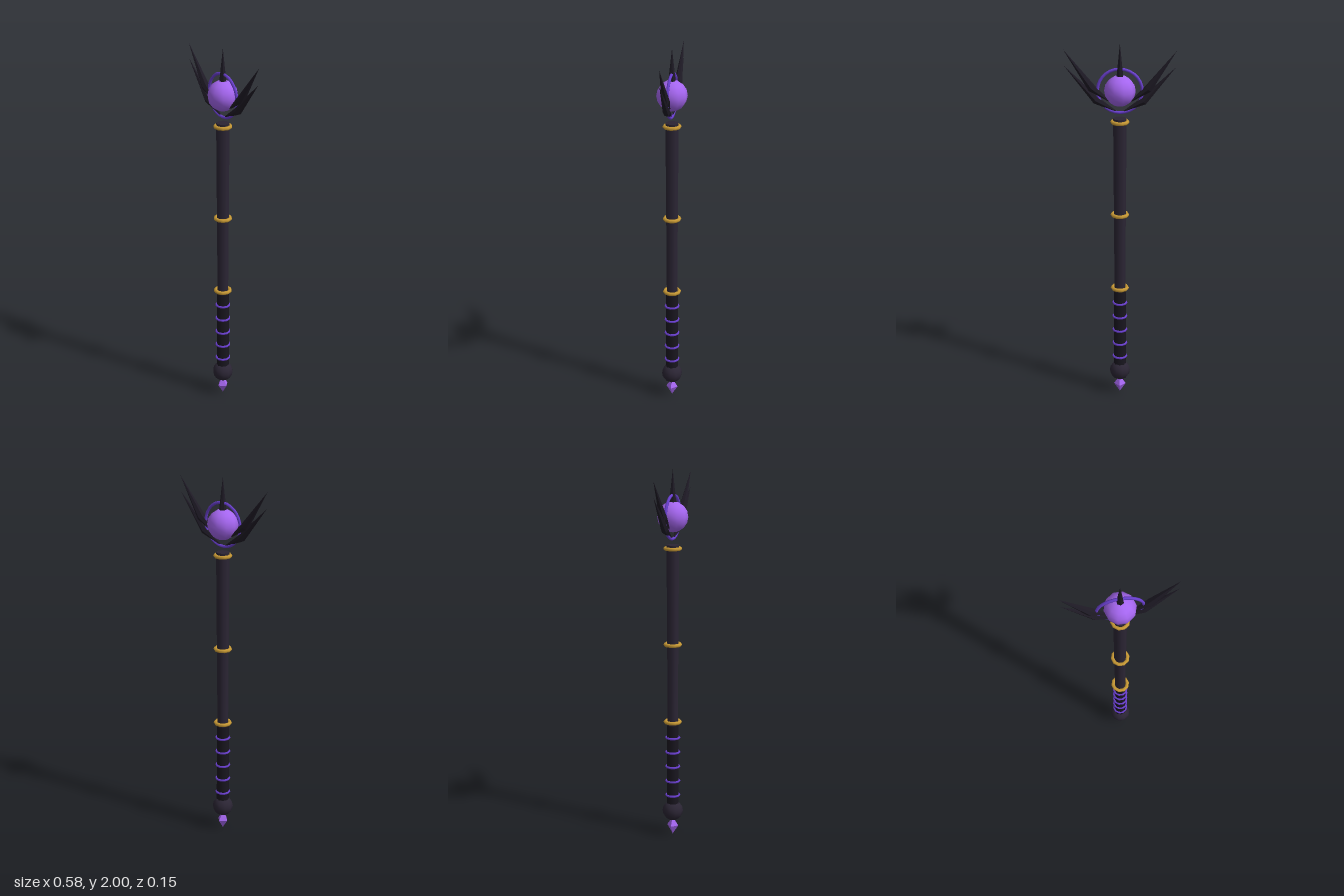
import * as THREE from 'three';

const mat = (color, flatShading = false) => {
  const m = new THREE.MeshStandardMaterial({ color });
  m.flatShading = flatShading;
  return m;
};

// Faceted thorn: a point, a six-sided ring at the bend, and a tip, all in the xy plane
function thornGeometry(base, bend, tip, radius, sides = 6) {
  const a = new THREE.Vector3(base[0], base[1], 0);
  const b = new THREE.Vector3(bend[0], bend[1], 0);
  const c = new THREE.Vector3(tip[0], tip[1], 0);
  const along = c.clone().sub(a).normalize();
  const across = new THREE.Vector3(along.y, -along.x, 0);
  const ring = i => {
    const t = (i / sides) * Math.PI * 2;
    return b.clone().addScaledVector(across, Math.sin(t) * radius)
      .add(new THREE.Vector3(0, 0, Math.cos(t) * radius));
  };
  const points = [];
  for (let i = 0; i < sides; i++) {
    const p = ring(i), q = ring(i + 1);
    points.push(p, q, c, q, p, a);
  }
  const geometry = new THREE.BufferGeometry().setFromPoints(points);
  geometry.computeVertexNormals();
  return geometry;
}

export function createModel() {
  const staff = new THREE.Group();
  staff.name = 'staff';

  const wood = mat(0x2b2534);
  const wrap = mat(0x19161f);
  const gold = mat(0xc99a35);
  const violet = mat(0x6a3fd0);
  const glow = mat(0xa566f0);
  const crystal = mat(0xa566f0, true);
  const thorn = mat(0x1e1a25, true);

  const add = (name, geometry, material, y = 0) => {
    const mesh = new THREE.Mesh(geometry, material);
    mesh.name = name;
    mesh.position.y = y;
    staff.add(mesh);
    return mesh;
  };

  // Foot: small crystal below a round pommel
  add('footCrystal', new THREE.OctahedronGeometry(0.032), crystal, 0.05).scale.y = 0.05 / 0.032;
  add('pommel', new THREE.SphereGeometry(0.056, 10, 8), wood, 0.137);

  // Grip and gently widening shaft
  add('grip', new THREE.CylinderGeometry(0.033, 0.034, 0.46, 8), wrap, 0.395);
  add('shaft', new THREE.CylinderGeometry(0.035, 0.029, 0.985, 8), wood, 1.1125);

  // Bands around the grip and shaft
  const band = (name, radius, tube, y, material) => {
    add(name, new THREE.TorusGeometry(radius, tube, 6, 10), material, y).rotation.x = Math.PI / 2;
  };
  for (let i = 0; i < 5; i++) band('gripBand', 0.036, 0.006, 0.226 + i * 0.082, violet);
  for (const y of [0.643, 1.071, 1.586]) band('shaftBand', 0.04, 0.01, y, gold);

  // Orb inside an upright halo
  add('orb', new THREE.SphereGeometry(0.081, 10, 8), glow, 1.752);
  add('halo', new THREE.TorusGeometry(0.115, 0.008, 6, 28), violet, 1.751);

  // Crown of thorns: one on top, two bent ones on each side
  add('topThorn', thornGeometry([0, 1.72], [0, 1.83], [0, 2], 0.019), thorn);
  for (const s of [1, -1]) {
    add('upperThorn', thornGeometry([s * 0.04, 1.685], [s * 0.145, 1.765], [s * 0.288, 1.965], 0.022), thorn);
    add('lowerThorn', thornGeometry([0, 1.632], [s * 0.122, 1.7], [s * 0.285, 1.88], 0.021), thorn);
  }

  return staff;
}
